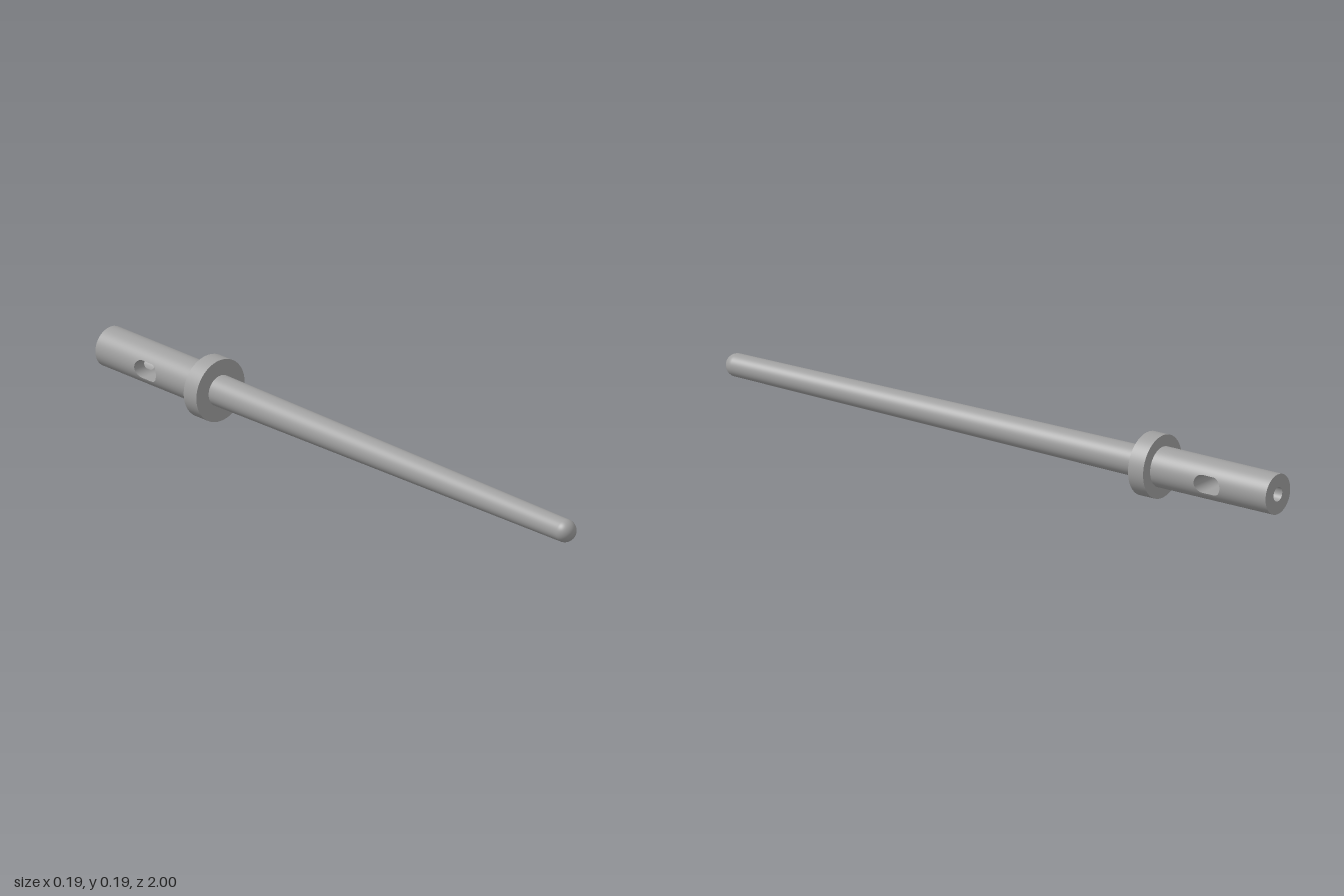
import * as THREE from 'three';

const R = 0.062;                    // barrel radius
const ZC = -0.785, HALF = 0.215;    // barrel centre and half length
const SR = 0.028, SC = 0.019;       // slot end radius and half straight length
const BORE = 0.022;                 // wire bore radius
const N = 96;

// Surface from a rule fn(u, v) -> { p: position, n: outward normal }; triangles follow the normal
function surface(nu, nv, fn) {
  const pos = [], nor = [], idx = [];
  for (let i = 0; i <= nu; i++) {
    for (let j = 0; j <= nv; j++) {
      const { p, n } = fn(i / nu, j / nv);
      pos.push(...p);
      nor.push(...new THREE.Vector3(...n).normalize().toArray());
    }
  }
  const at = (a, k) => new THREE.Vector3().fromArray(a, k * 3);
  const tri = (a, b, c) => {
    const A = at(pos, a);
    const face = at(pos, b).sub(A).cross(at(pos, c).sub(A));
    const want = at(nor, a).add(at(nor, b)).add(at(nor, c));
    if (face.dot(want) < 0) idx.push(a, c, b);
    else idx.push(a, b, c);
  };
  for (let i = 0; i < nu; i++) {
    for (let j = 0; j < nv; j++) {
      const a = i * (nv + 1) + j, b = a + nv + 1;
      tri(a, b, b + 1);
      tri(a, b + 1, a + 1);
    }
  }
  const g = new THREE.BufferGeometry();
  g.setAttribute('position', new THREE.Float32BufferAttribute(pos, 3));
  g.setAttribute('normal', new THREE.Float32BufferAttribute(nor, 3));
  g.setIndex(idx);
  return g;
}

// Point on the edge of a 2 x 2 square in direction f
function square(f) {
  const c = Math.cos(f), s = Math.sin(f), m = Math.max(Math.abs(c), Math.abs(s));
  return [c / m, s / m];
}
const lerp = THREE.MathUtils.lerp;
const wallX = (y) => Math.sqrt(R * R - y * y);

// Half of the barrel skin, with the slot left open
function barrelSide(side) {
  return surface(N, 16, (u, v) => {
    const f = u * Math.PI * 2, [sz, sa] = square(f), c = Math.cos(f);
    const straight = Math.abs(c) < 1e-6 ? 0 : Math.sign(c) * SC;
    const z = lerp(straight + SR * c, sz * HALF, v);
    const a = lerp(Math.asin(SR * Math.sin(f) / R), sa * Math.PI / 2, v);
    const n = [side * Math.cos(a), Math.sin(a), 0];
    return { p: [n[0] * R, n[1] * R, ZC + z], n };
  });
}

// Slot walls: flats and the rounded end nearest the collar
function slotWall() {
  const path = [[SR, -SC, 1, 0]];
  for (let i = 0; i <= 32; i++) {
    const t = Math.PI / 2 - i / 32 * Math.PI;
    path.push([SR * Math.sin(t), SC + SR * Math.cos(t), Math.sin(t), Math.cos(t)]);
  }
  path.push([-SR, -SC, -1, 0]);
  return surface(path.length - 1, 1, (u, v) => {
    const [y, z, ny, nz] = path[Math.round(u * (path.length - 1))];
    return { p: [(v * 2 - 1) * wallX(y), y, ZC + z], n: [0, -ny, -nz] };
  });
}

// Rounded slot end where the bore breaks through
function slotBoreEnd() {
  return surface(N, 8, (u, v) => {
    const f = u * Math.PI * 2, [sx, st] = square(f);
    const t = lerp(Math.asin(BORE * Math.sin(f) / SR), st * Math.PI / 2, v);
    const y = SR * Math.sin(t);
    const x = lerp(BORE * Math.cos(f), sx * wallX(SR * Math.sin(st * Math.PI / 2)), v);
    const edge = v === 1 ? sx * wallX(y) : x;
    return { p: [edge, y, ZC - SC - SR * Math.cos(t)], n: [0, -Math.sin(t), Math.cos(t)] };
  });
}

// Wire bore from the rear face to the slot
function boreWall() {
  return surface(N, 1, (u, v) => {
    const f = u * Math.PI * 2, x = BORE * Math.cos(f), y = BORE * Math.sin(f);
    return { p: [x, y, lerp(-1, ZC - SC - Math.sqrt(SR * SR - y * y), v)], n: [-x, -y, 0] };
  });
}

export function createModel() {
  const metal = new THREE.MeshStandardMaterial({ color: 0xa0a0a0 });
  metal.name = 'grey metal';
  const model = new THREE.Group();
  model.name = 'contactPin';
  const body = new THREE.Group();
  body.name = 'pinBody';
  body.position.y = 0.097;
  model.add(body);
  const add = (name, geometry, parent = body) => {
    const mesh = new THREE.Mesh(geometry, metal);
    mesh.name = name;
    parent.add(mesh);
    return mesh;
  };

  // Tapered shaft
  const shaft = new THREE.CylinderGeometry(0.035, 0.048, 1.495, 64, 1, true);
  add('shaft', shaft.rotateX(Math.PI / 2).translate(0, 0, 0.2175));

  // Rounded tip
  const tip = new THREE.SphereGeometry(0.035, 64, 16, 0, Math.PI * 2, 0, Math.PI / 2);
  add('tip', tip.rotateX(Math.PI / 2).translate(0, 0, 0.965));

  // Collar
  const collar = new THREE.CylinderGeometry(0.097, 0.097, 0.055, 96);
  add('collar', collar.rotateX(Math.PI / 2).translate(0, 0, -0.5525));

  // Slotted rear barrel
  const barrel = new THREE.Group();
  barrel.name = 'barrel';
  body.add(barrel);
  add('barrelLeft', barrelSide(1), barrel);
  add('barrelRight', barrelSide(-1), barrel);
  add('slotWall', slotWall(), barrel);
  add('slotBoreEnd', slotBoreEnd(), barrel);
  add('boreWall', boreWall(), barrel);
  add('rearFace', new THREE.RingGeometry(BORE, R, N).rotateY(Math.PI).translate(0, 0, -1), barrel);

  return model;
}
